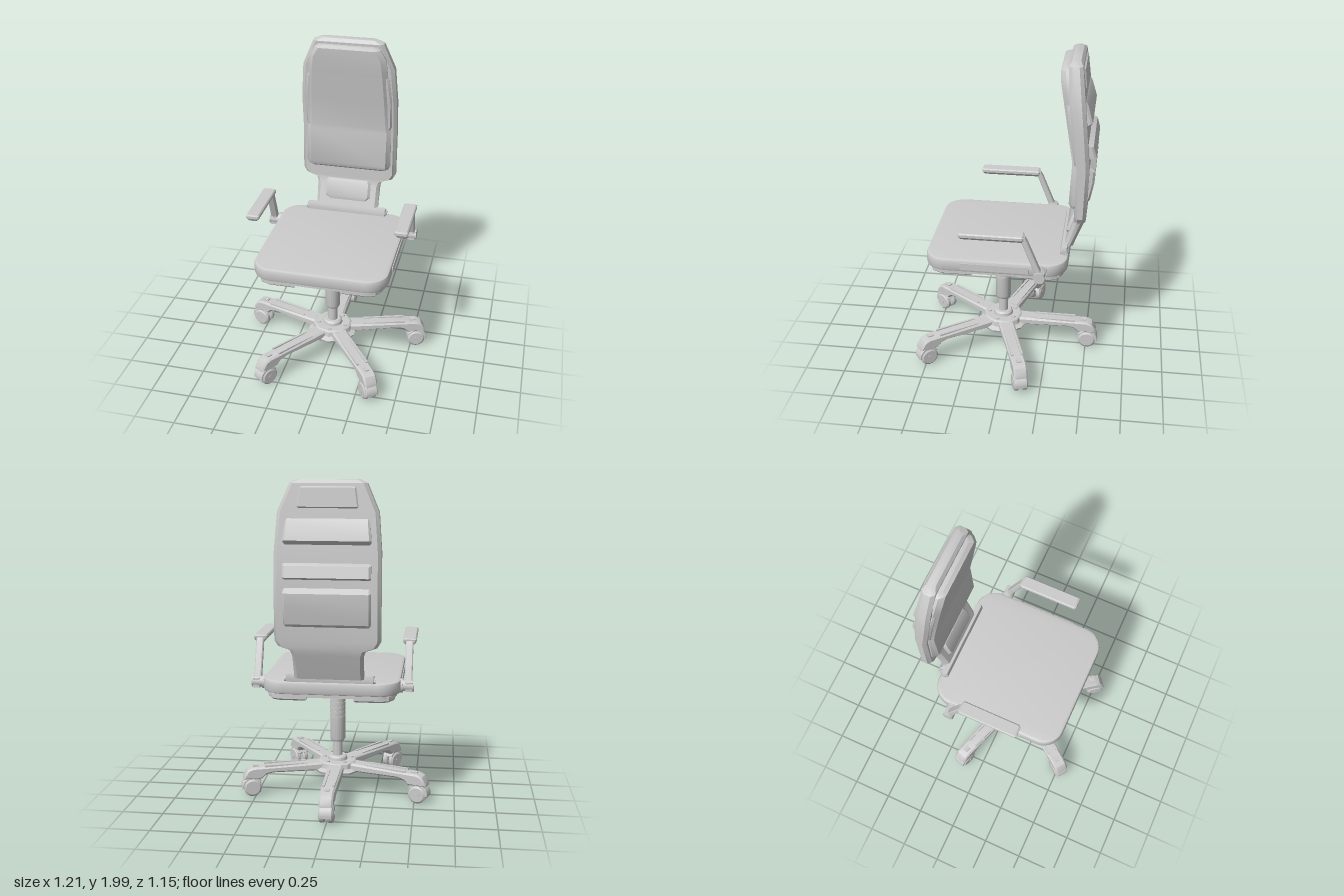
import * as THREE from 'three';
import { toCreasedNormals } from 'three/addons/utils/BufferGeometryUtils.js';

const grey = new THREE.MeshStandardMaterial({ color: 0xcccccc });

function add(parent, name, geo, x = 0, y = 0, z = 0) {
  const mesh = new THREE.Mesh(toCreasedNormals(geo, 0.5), grey);
  mesh.name = name;
  mesh.position.set(x, y, z);
  parent.add(mesh);
  return mesh;
}

// Loft of chamfered rectangles; rows run downwards as [y, halfWidth, zFront, zBack]
function slab(rows, chamfer) {
  const pos = [], idx = [], n = 8;
  for (const [y, w, f, b] of rows) {
    const c = Math.min(chamfer, (f - b) * 0.45, w * 0.45);
    for (const [x, z] of [[w, b + c], [w, f - c], [w - c, f], [c - w, f], [-w, f - c], [-w, b + c], [c - w, b], [w - c, b]])
      pos.push(x, y, z);
  }
  const last = (rows.length - 1) * n;
  for (let r = 0; r < last; r += n)
    for (let i = 0; i < n; i++) {
      const j = (i + 1) % n;
      idx.push(r + i, r + j, r + n + i, r + j, r + n + j, r + n + i);
    }
  for (let i = 1; i < n - 1; i++) idx.push(0, i + 1, i, last, last + i, last + i + 1);
  const g = new THREE.BufferGeometry();
  g.setAttribute('position', new THREE.Float32BufferAttribute(pos, 3));
  g.setIndex(idx);
  return g;
}

const polygon = pts => new THREE.Shape(pts.map(p => new THREE.Vector2(...p)));

// Extrusion centred on its depth, bevel kept inside the outline
function extrude(shape, depth, bevel, segs = 1) {
  const g = new THREE.ExtrudeGeometry(shape, {
    depth: depth - 2 * bevel, bevelEnabled: bevel > 0, bevelThickness: bevel,
    bevelSize: bevel, bevelOffset: -bevel, bevelSegments: segs, curveSegments: 8
  });
  return g.translate(0, 0, bevel - depth / 2);
}

function roundedRect(w, d, r) {
  const s = new THREE.Shape();
  s.absarc(w - r, d - r, r, 0, Math.PI / 2);
  s.absarc(r - w, d - r, r, Math.PI / 2, Math.PI);
  s.absarc(r - w, r - d, r, Math.PI, Math.PI * 1.5);
  s.absarc(w - r, r - d, r, Math.PI * 1.5, Math.PI * 2);
  return s;
}

const lathe = (pts, sides = 24) => new THREE.LatheGeometry(pts.map(p => new THREE.Vector2(...p)), sides);

function buildSeat() {
  const g = new THREE.Group();
  g.name = 'seat';
  add(g, 'seatCushion', extrude(roundedRect(0.413, 0.43, 0.13), 0.08, 0.015, 2).rotateX(Math.PI / 2), 0, 0.785, 0.045);
  add(g, 'seatUnderPanel', extrude(roundedRect(0.39, 0.41, 0.12), 0.03, 0).rotateX(Math.PI / 2), 0, 0.74, 0.045);
  for (const sx of [1, -1]) {
    add(g, 'sideTrim', new THREE.BoxGeometry(0.012, 0.042, 0.41), sx * 0.412, 0.785, 0.045);
    // L-shaped corner pads under the seat
    for (const sz of [1, -1]) {
      const L = [[0.14, 0.405], [0.3, 0.405], [0.35, 0.385], [0.38, 0.33], [0.38, 0.14], [0.3, 0.14], [0.3, 0.3], [0.27, 0.325], [0.14, 0.325]];
      const pad = extrude(polygon(L.map(([x, z]) => [x * sx, z * sz])), 0.045, 0.01);
      add(g, 'cornerPad', pad.rotateX(Math.PI / 2), 0, 0.725, 0.045);
    }
  }
  // Tilt mechanism
  add(g, 'mechanismPlate', slab([[0.735, 0.215, 0.2, -0.17], [0.715, 0.215, 0.2, -0.17], [0.69, 0.15, 0.14, -0.09], [0.68, 0.12, 0.13, -0.05]], 0.01));
  return g;
}

function buildBackrest() {
  const g = new THREE.Group();
  g.name = 'backrest';
  add(g, 'backFrame', slab([
    [2.0, 0.18, -0.365, -0.415], [1.98, 0.22, -0.35, -0.43], [1.82, 0.288, -0.36, -0.45],
    [1.6, 0.305, -0.385, -0.472], [1.4, 0.307, -0.415, -0.49], [1.09, 0.307, -0.41, -0.482],
    [1.055, 0.285, -0.41, -0.477], [1.032, 0.22, -0.41, -0.473], [1.0, 0.208, -0.4, -0.462],
    [0.85, 0.205, -0.35, -0.405]], 0.02));
  add(g, 'cushionSurround', slab([
    [1.78, 0.25, -0.35, -0.4], [1.75, 0.262, -0.35, -0.4], [1.6, 0.28, -0.375, -0.42],
    [1.43, 0.278, -0.4, -0.44], [1.4, 0.26, -0.4, -0.44]], 0.012));
  add(g, 'backCushion', slab([
    [1.965, 0.18, -0.325, -0.38], [1.95, 0.205, -0.305, -0.38], [1.89, 0.24, -0.31, -0.385],
    [1.8, 0.25, -0.325, -0.4], [1.62, 0.26, -0.355, -0.42], [1.42, 0.264, -0.387, -0.44],
    [1.39, 0.272, -0.387, -0.44], [1.16, 0.276, -0.375, -0.44], [1.135, 0.262, -0.385, -0.43],
    [1.12, 0.24, -0.405, -0.43]], 0.03));
  add(g, 'lumbarPad', slab([
    [1.037, 0.14, -0.4, -0.43], [1.015, 0.15, -0.388, -0.43], [0.93, 0.15, -0.36, -0.41], [0.905, 0.13, -0.362, -0.4]], 0.015));
  // Rear shell: head panel and three sloping ridges
  add(g, 'headPanel', slab([[1.965, 0.15, -0.4, -0.43], [1.955, 0.16, -0.4, -0.442], [1.85, 0.175, -0.41, -0.453], [1.84, 0.17, -0.41, -0.445]], 0.008));
  add(g, 'upperRidge', slab([[1.79, 0.24, -0.42, -0.45], [1.77, 0.24, -0.42, -0.466], [1.665, 0.25, -0.43, -0.497], [1.64, 0.25, -0.43, -0.467]], 0.012));
  add(g, 'middleRidge', slab([[1.54, 0.25, -0.43, -0.475], [1.525, 0.25, -0.43, -0.507], [1.46, 0.25, -0.44, -0.526], [1.445, 0.25, -0.44, -0.485]], 0.012));
  add(g, 'lowerRidge', slab([[1.4, 0.25, -0.44, -0.488], [1.37, 0.25, -0.44, -0.522], [1.3, 0.25, -0.44, -0.52], [1.19, 0.25, -0.44, -0.498], [1.17, 0.25, -0.44, -0.48]], 0.012));
  // Hinge joining the back to the seat
  add(g, 'hingeBar', slab([[0.868, 0.262, -0.34, -0.375], [0.845, 0.267, -0.333, -0.38], [0.815, 0.262, -0.335, -0.375]], 0.008));
  add(g, 'hingeRod', new THREE.CylinderGeometry(0.018, 0.018, 0.54, 12).rotateZ(Math.PI / 2), 0, 0.838, -0.36);
  return g;
}

function buildArmrest(side) {
  const g = new THREE.Group();
  g.name = side > 0 ? 'leftArmrest' : 'rightArmrest';
  const x = side * 0.457;
  add(g, 'armPad', slab([
    [1.05, 0.034, 0.235, -0.13], [1.043, 0.041, 0.245, -0.138], [1.027, 0.041, 0.245, -0.138], [1.01, 0.026, 0.235, -0.13]], 0.008), x);
  const post = polygon([[-0.1, 1.04], [-0.142, 1.035], [-0.155, 1.015], [-0.247, 0.79], [-0.213, 0.78], [-0.125, 1.005], [-0.1, 1.012]]);
  add(g, 'armPost', extrude(post, 0.046, 0.006).rotateY(-Math.PI / 2), x);
  add(g, 'pivot', new THREE.CylinderGeometry(0.034, 0.034, 0.1, 16).rotateZ(Math.PI / 2), side * 0.44, 0.782, -0.23);
  add(g, 'pivotFlange', new THREE.CylinderGeometry(0.042, 0.042, 0.018, 16).rotateZ(Math.PI / 2), side * 0.416, 0.782, -0.23);
  add(g, 'pivotBlock', slab([[0.807, 0.028, -0.2, -0.26], [0.75, 0.028, -0.2, -0.26]], 0.01), side * 0.462);
  return g;
}

function buildColumn() {
  const g = new THREE.Group();
  g.name = 'gasColumn';
  add(g, 'piston', new THREE.CylinderGeometry(0.031, 0.031, 0.5, 20), 0, 0.42, 0);
  add(g, 'columnSleeve', lathe([[0, 0.335], [0.04, 0.335], [0.048, 0.35], [0.048, 0.635], [0.04, 0.648], [0, 0.648]]));
  for (let i = 0; i < 5; i++)
    add(g, 'sleeveRing', new THREE.CylinderGeometry(0.05, 0.05, 0.012, 24), 0, 0.5 + i * 0.03, 0);
  add(g, 'columnCollar', lathe([[0, 0.648], [0.032, 0.648], [0.055, 0.665], [0.075, 0.672], [0.075, 0.69], [0, 0.69]]));
  return g;
}

function buildLeg(i) {
  const g = new THREE.Group();
  g.name = 'leg' + (i + 1);
  const profile = polygon([
    [0.06, 0.152], [0.42, 0.157], [0.465, 0.148], [0.495, 0.12], [0.612, 0.12], [0.61, 0.14],
    [0.585, 0.18], [0.55, 0.195], [0.3, 0.2], [0.06, 0.205]]);
  const arm = extrude(profile, 0.084, 0.01);
  // Arm widens towards the hub
  const p = arm.attributes.position;
  for (let k = 0; k < p.count; k++) p.setZ(k, p.getZ(k) * (1.25 - 0.4 * p.getX(k)));
  add(g, 'legArm', arm);
  for (const s of [1, -1]) {
    add(g, 'legRail', new THREE.BoxGeometry(0.27, 0.012, 0.014), 0.34, 0.2, s * 0.03);
    add(g, 'casterWheel', lathe([[0, -0.019], [0.045, -0.019], [0.057, -0.01], [0.057, 0.01], [0.045, 0.019], [0, 0.019]], 20)
      .rotateX(Math.PI / 2), 0.555, 0.065, s * 0.026);
  }
  add(g, 'legCap', new THREE.BoxGeometry(0.035, 0.012, 0.03), 0.53, 0.197, 0);
  // Half-round hood over the wheels
  const hood = new THREE.Shape();
  hood.absarc(0, 0, 0.066, -0.15, Math.PI - 0.5, false);
  hood.absarc(0, 0, 0.03, Math.PI - 0.5, -0.15, true);
  add(g, 'casterHood', extrude(hood, 0.076, 0.004), 0.557, 0.067, 0);
  add(g, 'casterAxle', new THREE.CylinderGeometry(0.015, 0.015, 0.096, 12).rotateX(Math.PI / 2), 0.555, 0.065, 0);
  g.rotation.y = Math.PI / 2 + i * Math.PI * 0.4;
  return g;
}

function buildBase() {
  const g = new THREE.Group();
  g.name = 'base';
  add(g, 'hub', lathe([[0, 0.148], [0.155, 0.148], [0.16, 0.16], [0.13, 0.175], [0.125, 0.205], [0.115, 0.212], [0, 0.212]], 10));
  add(g, 'hubCollar', lathe([[0, 0.2], [0.065, 0.2], [0.06, 0.23], [0.05, 0.24], [0, 0.24]]));
  add(g, 'hubPlug', new THREE.CylinderGeometry(0.03, 0.03, 0.03, 16), 0, 0.142, 0);
  for (let i = 0; i < 5; i++) {
    g.add(buildLeg(i));
    const a = Math.PI / 2 + (i + 0.5) * Math.PI * 0.4;
    add(g, 'hubBolt', new THREE.CylinderGeometry(0.012, 0.012, 0.012, 10), Math.cos(a) * 0.09, 0.213, -Math.sin(a) * 0.09);
  }
  return g;
}

export function createModel() {
  const model = new THREE.Group();
  model.name = 'officeChair';
  const column = buildColumn(), base = buildBase();
  column.position.z = base.position.z = 0.047;
  model.add(buildSeat(), buildBackrest(), buildArmrest(1), buildArmrest(-1), column, base);
  return model;
}
